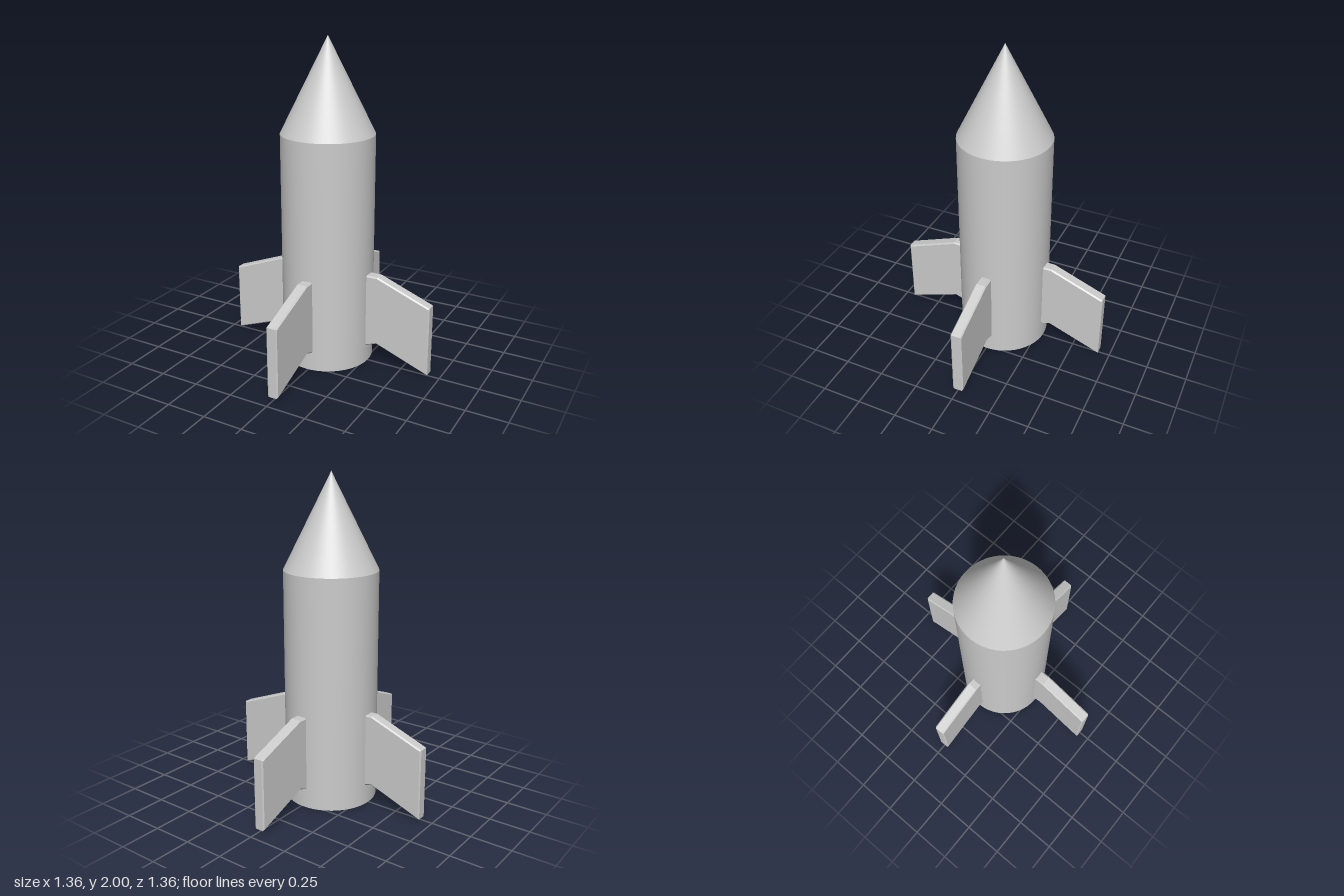
import * as THREE from 'three';

export function createModel() {
  const model = new THREE.Group();
  const material = new THREE.MeshStandardMaterial({ color: 0xcccccc });
  const radius = 0.285, shoulder = 1.43, top = 2;
  const offset = -0.015; // hull sits slightly off the fin axis

  const add = (name, geometry) => {
    const mesh = new THREE.Mesh(geometry, material);
    mesh.name = name;
    model.add(mesh);
    return mesh;
  };

  // Cylindrical hull, closed at the bottom
  add('hull', new THREE.CylinderGeometry(radius, radius, shoulder, 48))
    .position.set(offset, shoulder / 2, -0.003);

  // Pointed nose
  add('noseCone', new THREE.ConeGeometry(radius, top - shoulder, 48, 8))
    .position.set(offset, (top + shoulder) / 2, -0.003);

  // Swept fin profile, x outward from the axis
  const profile = new THREE.Shape([
    [0.2, 0.09], [0.34, 0.14], [0.68, 0.015],
    [0.68, 0.455], [0.34, 0.585], [0.2, 0.585],
  ].map(([x, y]) => new THREE.Vector2(x, y)));

  // Plate with narrow chamfered edges
  const thickness = 0.07, bevel = 0.008;
  const finGeometry = new THREE.ExtrudeGeometry(profile, {
    depth: thickness - 2 * bevel,
    bevelThickness: bevel,
    bevelSize: bevel,
    bevelOffset: -bevel,
    bevelSegments: 1,
  });
  finGeometry.translate(0, 0, bevel - thickness / 2);

  // Four fins around the base
  ['leftFin', 'backFin', 'rightFin', 'frontFin'].forEach((name, i) => {
    const fin = add(name, finGeometry);
    fin.rotation.y = i * Math.PI / 2;
    if (i % 2) fin.position.x = -0.004;
    else fin.position.z = -0.004;
  });

  return model;
}
